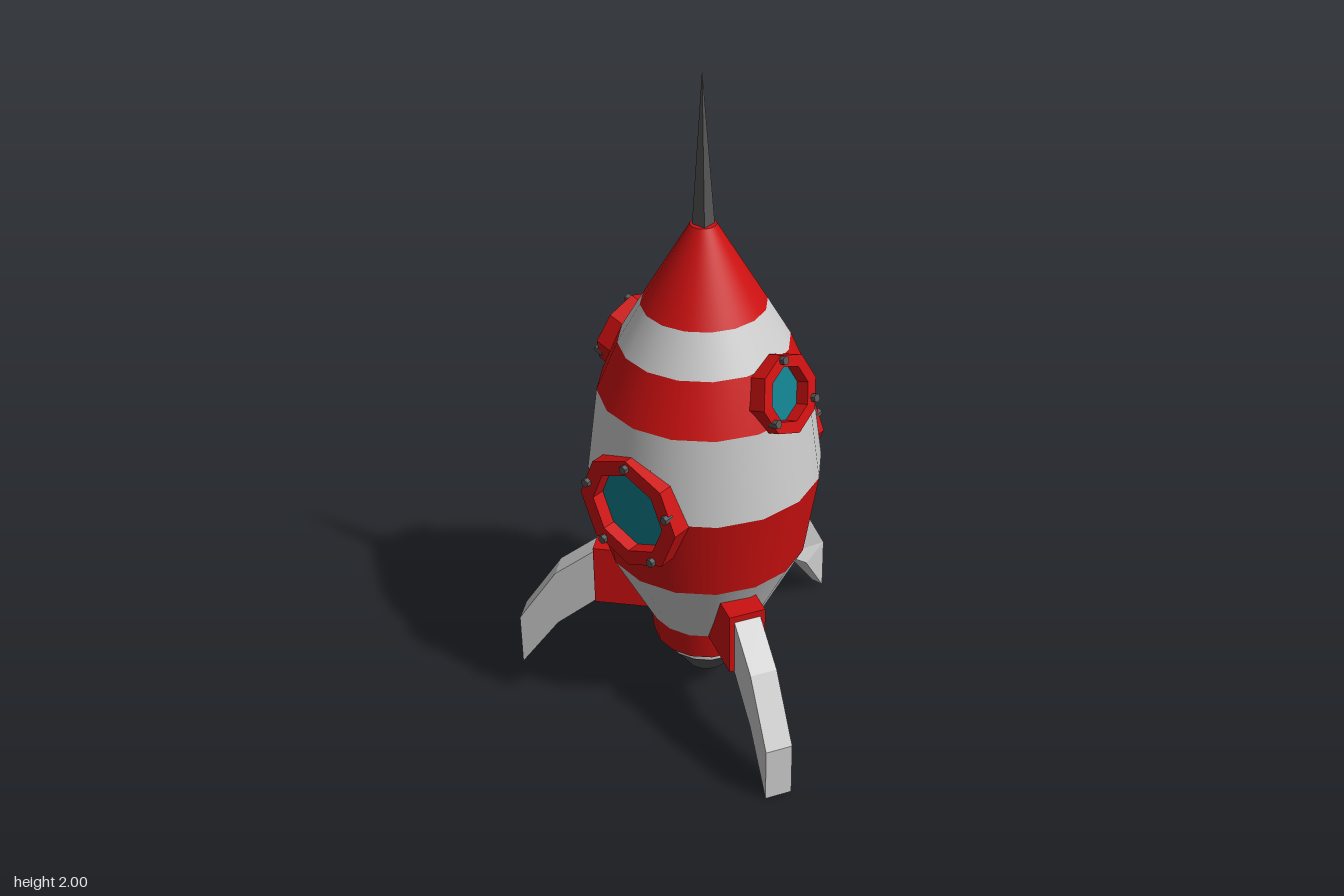
import * as THREE from 'three';

const mat = (color, extra = {}) => new THREE.MeshStandardMaterial({ color, ...extra });
const grey = mat(0xcccccc);
const greyFlat = mat(0xcccccc, { flatShading: true });
const red = mat(0xcc1010);
const redFlat = mat(0xcc1010, { flatShading: true });
const dark = mat(0x555555);
const darkFlat = mat(0x555555, { flatShading: true });
const teal = mat(0x0f7f8c);

const SIDES = 16;
const AXIS_X = -0.115; // hull axis, offset so the three legs are centred

function add(parent, name, geometry, material) {
  const mesh = new THREE.Mesh(geometry, material);
  mesh.name = name;
  parent.add(mesh);
  return mesh;
}

// Portholes: turn about the hull, height, face distance, tilt, radii, bolts
const big = { y: 0.797, d: 0.343, tilt: 0, outer: 0.175, inner: 0.127, boltAt: 0.152, bolts: 5 };
const small = { y: 1.14, d: 0.302, tilt: 0.3, outer: 0.116, inner: 0.081, boltAt: 0.1, bolts: 3 };
const portholes = [
  { name: 'leftPorthole', turn: Math.PI / 2, ...big },
  { name: 'rightPorthole', turn: -Math.PI / 2, ...big },
  { name: 'frontPorthole', turn: 0, ...small },
  { name: 'backPorthole', turn: Math.PI, ...small },
];

function portholeMatrix(p) {
  return new THREE.Matrix4().makeRotationY(p.turn)
    .multiply(new THREE.Matrix4().makeTranslation(0, p.y, p.d))
    .multiply(new THREE.Matrix4().makeRotationX(-p.tilt));
}

// One hull band: 16 flat-sided facets with openings left behind the portholes
function bandGeometry([y0, r0], [y1, r1]) {
  const cuts = portholes.map((p) => ({
    inverse: portholeMatrix(p).invert(), radius: (p.inner + p.outer) / 2,
  }));
  const across = 6;
  const up = Math.ceil((y1 - y0) / 0.022);
  const slope = (r0 - r1) / (y1 - y0);
  const corner = (i) => [Math.sin(i * 2 * Math.PI / SIDES), Math.cos(i * 2 * Math.PI / SIDES)];
  const point = (u, v) => {
    const side = Math.floor(u / across);
    const t = u / across - side;
    const a = corner(side), b = corner(side + 1);
    const r = r0 + (r1 - r0) * v / up;
    return new THREE.Vector3(
      r * (a[0] + (b[0] - a[0]) * t), y0 + (y1 - y0) * v / up, r * (a[1] + (b[1] - a[1]) * t));
  };
  const isCut = (c) => cuts.some(({ inverse, radius }) => {
    const q = c.clone().applyMatrix4(inverse);
    return q.z > -0.2 && Math.hypot(q.x, q.y) < radius;
  });
  const positions = [], normals = [];
  const triangle = (...pts) => {
    const c = pts[0].clone().add(pts[1]).add(pts[2]).divideScalar(3);
    if (isCut(c)) return;
    for (const p of pts) {
      positions.push(p.x, p.y, p.z);
      const n = new THREE.Vector3(p.x, 0, p.z).normalize().setY(slope).normalize();
      normals.push(n.x, n.y, n.z);
    }
  };
  for (let u = 0; u < SIDES * across; u++) {
    for (let v = 0; v < up; v++) {
      const a = point(u, v), b = point(u + 1, v), c = point(u + 1, v + 1), d = point(u, v + 1);
      triangle(a, b, c);
      triangle(a, c, d);
    }
  }
  const g = new THREE.BufferGeometry();
  g.setAttribute('position', new THREE.Float32BufferAttribute(positions, 3));
  g.setAttribute('normal', new THREE.Float32BufferAttribute(normals, 3));
  return g;
}

function octagon(Type, r) {
  const s = new Type();
  for (let i = 0; i < 8; i++) {
    const a = i * Math.PI / 4;
    if (i) s.lineTo(r * Math.cos(a), r * Math.sin(a));
    else s.moveTo(r, 0);
  }
  s.closePath();
  return s;
}

// Octagonal frame, recessed glass and a circle of bolts, facing +z
function makePorthole(p) {
  const g = new THREE.Group();
  g.name = p.name;
  const depth = 0.12;
  const frame = octagon(THREE.Shape, p.outer);
  frame.holes.push(octagon(THREE.Path, p.inner));
  add(g, 'portholeFrame', new THREE.ExtrudeGeometry(frame, { depth, bevelEnabled: false })
    .translate(0, 0, -depth), redFlat);
  add(g, 'portholeGlass', new THREE.CircleGeometry(p.inner + 0.005, 8), teal).position.z = -0.04;
  for (let i = 0; i < p.bolts; i++) {
    const a = Math.PI / 2 + i * 2 * Math.PI / p.bolts;
    const bolt = add(g, 'bolt', new THREE.CylinderGeometry(0.013, 0.013, 0.028, 6), darkFlat);
    bolt.rotation.x = Math.PI / 2;
    bolt.position.set(p.boltAt * Math.cos(a), p.boltAt * Math.sin(a), 0);
  }
  g.applyMatrix4(portholeMatrix(p));
  return g;
}

// Red bracket with a bent leg, pointing along +x
function makeLeg(name, angle, tipScale) {
  const g = new THREE.Group();
  g.name = name;
  add(g, 'legBracket', new THREE.BoxGeometry(0.215, 0.2, 0.11), redFlat).position.set(0.2275, 0.38, 0);
  const outline = [[0.33, 0.28], [0.46, 0.17], [0.581, 0], [0.581, 0.175], [0.46, 0.36], [0.33, 0.463]];
  const shape = new THREE.Shape(outline.map(([x, y]) => new THREE.Vector2(x, y)));
  const leg = new THREE.ExtrudeGeometry(shape, { depth: 0.08, bevelEnabled: false }).translate(0, 0, -0.04);
  const pos = leg.attributes.position;
  for (let i = 0; i < pos.count; i++) {
    if (pos.getX(i) > 0.55) pos.setZ(i, pos.getZ(i) * tipScale);
  }
  leg.computeVertexNormals();
  add(g, 'leg', leg, greyFlat);
  g.rotation.y = angle;
  return g;
}

export function createModel() {
  const model = new THREE.Group();
  model.name = 'rocket';
  const rocket = new THREE.Group();
  rocket.name = 'rocketBody';
  rocket.position.x = AXIS_X;
  model.add(rocket);

  // Hull bands, alternating red and pale from the tail ring to the nose
  const profile = [[0.19, 0.16], [0.28, 0.172], [0.535, 0.298], [0.8, 0.34],
    [1.06, 0.306], [1.21, 0.243], [1.325, 0.177], [1.563, 0.037]];
  const bandNames = ['tailRing', 'lowerHull', 'lowerStripe', 'middleHull', 'upperStripe', 'upperHull', 'noseCone'];
  bandNames.forEach((name, i) =>
    add(rocket, name, bandGeometry(profile[i], profile[i + 1]), i % 2 ? grey : red));

  // Caps closing the hull
  const noseCap = add(rocket, 'noseCap', new THREE.CircleGeometry(0.037, SIDES), red);
  noseCap.rotation.x = -Math.PI / 2;
  noseCap.position.y = 1.563;
  const tailCap = add(rocket, 'tailCap', new THREE.CircleGeometry(0.16, SIDES), red);
  tailCap.rotation.set(Math.PI / 2, 0, 0);
  tailCap.position.y = 0.19;

  // Engine collar and nozzle
  add(rocket, 'engineCollar', new THREE.CylinderGeometry(0.13, 0.13, 0.037, SIDES), grey).position.y = 0.1725;
  add(rocket, 'nozzle', new THREE.CylinderGeometry(0.13, 0.065, 0.09, SIDES, 1, true), dark).position.y = 0.11;
  const lip = add(rocket, 'nozzleLip', new THREE.RingGeometry(0.04, 0.065, SIDES), dark);
  lip.rotation.x = Math.PI / 2;
  lip.position.y = 0.065;
  add(rocket, 'nozzleBore', new THREE.CylinderGeometry(0.04, 0.04, 0.03, SIDES, 1, true),
    mat(0x555555, { side: THREE.BackSide })).position.y = 0.08;
  const throat = add(rocket, 'nozzleThroat', new THREE.CircleGeometry(0.04, SIDES), dark);
  throat.rotation.x = Math.PI / 2;
  throat.position.y = 0.095;

  // Four-sided antenna spike
  const spike = add(rocket, 'antenna', new THREE.ConeGeometry(0.031, 0.44, 4), darkFlat);
  spike.rotation.y = Math.PI / 4;
  spike.position.y = 1.78;

  for (const p of portholes) rocket.add(makePorthole(p));

  // Three legs; the one on the left side tapers at its foot
  rocket.add(makeLeg('leftLeg', 0, 0.5));
  rocket.add(makeLeg('backLeg', 2 * Math.PI / 3, 1));
  rocket.add(makeLeg('frontLeg', -2 * Math.PI / 3, 1));
  return model;
}
